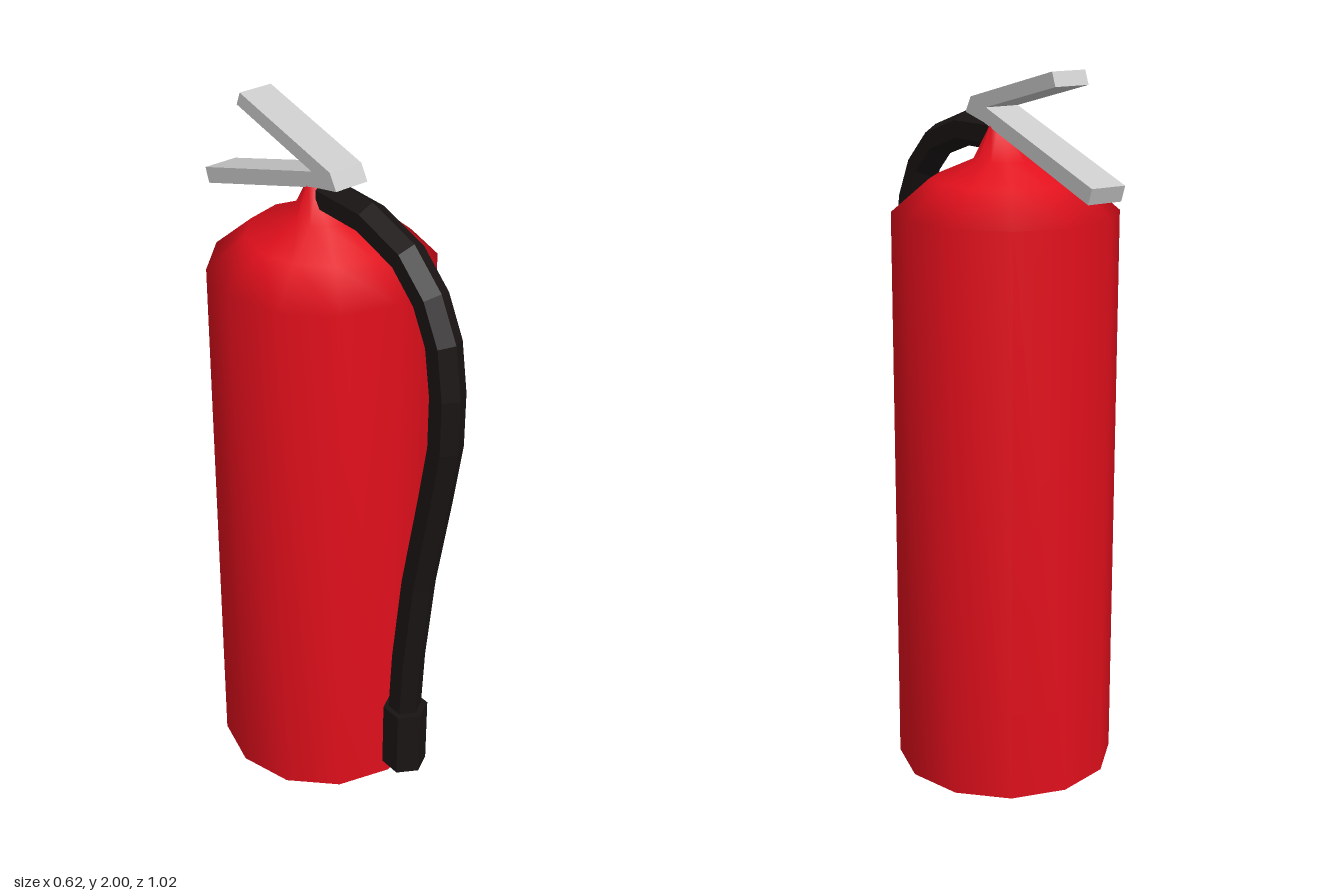
import * as THREE from 'three';
import { mergeVertices } from 'three/addons/utils/BufferGeometryUtils.js';

const red = new THREE.MeshStandardMaterial({ color: 0xe00f1c });
const black = new THREE.MeshStandardMaterial({ color: 0x1a1414, flatShading: true });
const grey = new THREE.MeshStandardMaterial({ color: 0xcccccc, flatShading: true });

const TANK_Z = -0.05;
const HOSE_X = -0.005;

function part(name, geometry, material) {
  const mesh = new THREE.Mesh(geometry, material);
  mesh.name = name;
  return mesh;
}

// Twelve-sided bottle whose neck ends in a ridge running left to right
function tankGeometry() {
  const profile = [[0.31, 0], [0.31, 1.605], [0.205, 1.695], [0.088, 1.745], [0.046, 1.85], [0, 1.85]]
    .map(([r, y]) => new THREE.Vector2(r, y));
  const lathe = new THREE.LatheGeometry(profile, 12);
  const pos = lathe.attributes.position;
  for (let i = 0; i < pos.count; i++) {
    if (pos.getY(i) > 1.8) pos.setY(i, 1.85 - 0.85 * Math.abs(pos.getZ(i)));
  }
  lathe.deleteAttribute('normal');
  lathe.deleteAttribute('uv');
  const smooth = mergeVertices(lathe);
  smooth.computeVertexNormals();
  return smooth;
}

// Six-sided sweep along a path in the yz plane, with a corner facing outward
function hoseGeometry(path, radius) {
  const sides = 6, positions = [], index = [];
  path.forEach((p, i) => {
    const a = path[Math.max(i - 1, 0)], b = path[Math.min(i + 1, path.length - 1)];
    const t = b.clone().sub(a).normalize();
    for (let s = 0; s < sides; s++) {
      const angle = (s / sides) * Math.PI * 2;
      const out = Math.cos(angle) * radius;
      positions.push(Math.sin(angle) * radius, p.y + t.x * out, p.x - t.y * out);
    }
  });
  for (let i = 0; i < path.length - 1; i++) {
    for (let s = 0; s < sides; s++) {
      const a = i * sides + s, b = i * sides + (s + 1) % sides;
      index.push(a, a + sides, b, b, a + sides, b + sides);
    }
  }
  const geometry = new THREE.BufferGeometry();
  geometry.setAttribute('position', new THREE.Float32BufferAttribute(positions, 3));
  geometry.setIndex(index);
  geometry.computeVertexNormals();
  return geometry;
}

// V-shaped side outline of the two levers, given as (z, y)
function handleGeometry() {
  const outline = [
    [0.07, 1.862], [0.045, 1.905], [-0.335, 2.0], [-0.35, 1.963],
    [-0.03, 1.883], [-0.51, 1.73], [-0.495, 1.688], [-0.02, 1.843],
  ].map(([z, y]) => new THREE.Vector2(z, y));
  const geometry = new THREE.ExtrudeGeometry(new THREE.Shape(outline), { depth: 0.102, bevelEnabled: false });
  return geometry.translate(0, 0, -0.051).rotateY(-Math.PI / 2);
}

export function createModel() {
  const model = new THREE.Group();
  model.name = 'fireExtinguisher';

  // Bottle and its flat underside
  const tank = part('tank', tankGeometry(), red);
  tank.position.z = TANK_Z;
  const base = part('tankBase', new THREE.CircleGeometry(0.31, 12).rotateX(Math.PI / 2), red);
  base.position.z = TANK_Z;

  // Squeeze levers
  const handle = part('handle', handleGeometry(), grey);

  // Hose, from the neck down the front, as (z, y)
  const path = [
    [-0.02, 1.81], [0.15, 1.806], [0.297, 1.758], [0.387, 1.676], [0.44, 1.573], [0.462, 1.435],
    [0.462, 1.281], [0.432, 1.1], [0.377, 0.798], [0.345, 0.512], [0.334, 0.3],
  ].map(([z, y]) => new THREE.Vector2(z, y));
  const hoseMaterial = black.clone();
  hoseMaterial.side = THREE.DoubleSide;
  const hose = part('hose', hoseGeometry(path, 0.048), hoseMaterial);
  hose.position.x = HOSE_X;

  // Nozzle at the end of the hose
  const nozzle = part('nozzle', new THREE.CylinderGeometry(0.065, 0.065, 0.213, 6), black);
  nozzle.position.set(HOSE_X, 0.2135, 0.338);

  model.add(tank, base, handle, hose, nozzle);
  return model;
}
